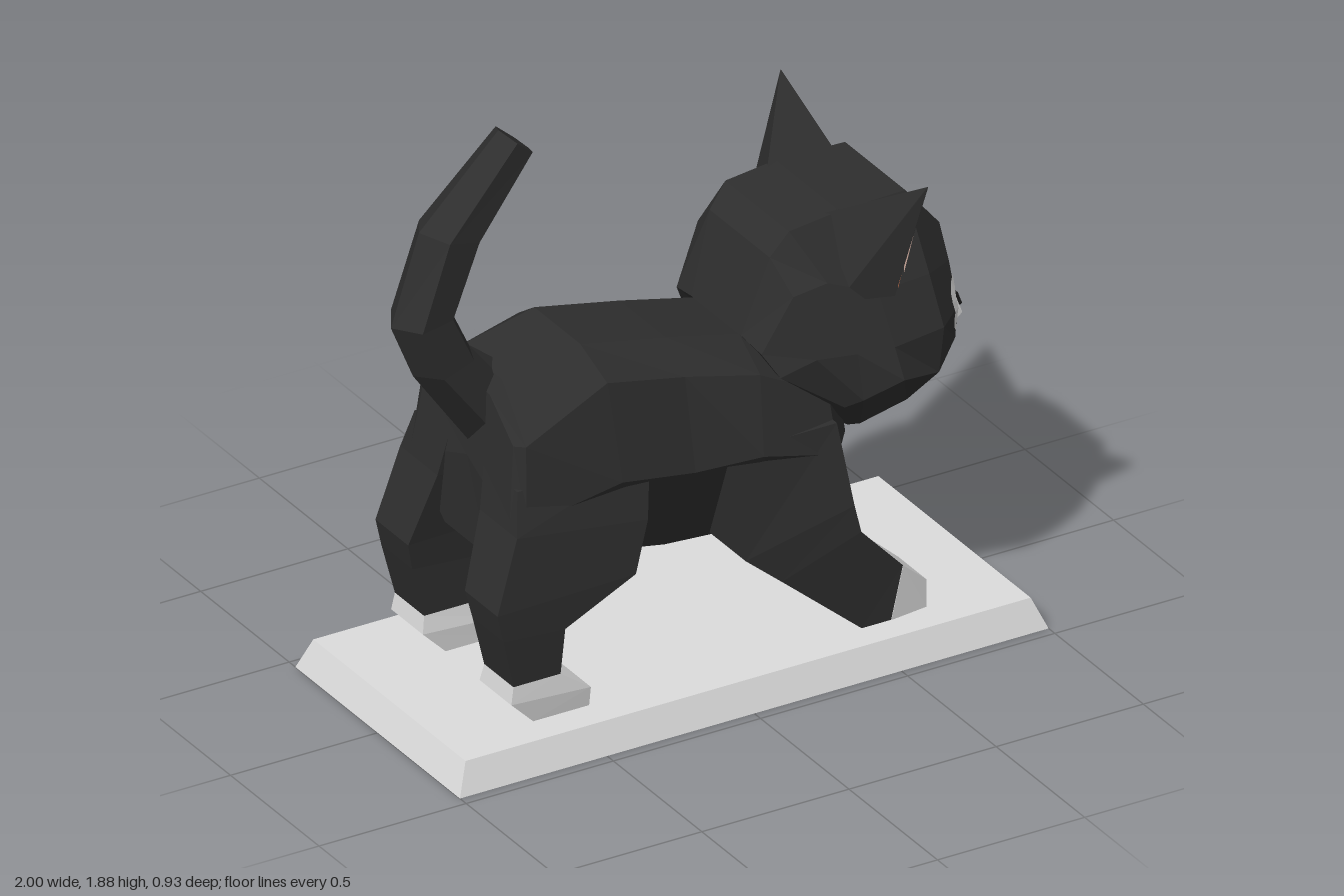
import * as THREE from 'three';

const mat = (name, color, side = THREE.FrontSide) =>
  Object.assign(new THREE.MeshStandardMaterial({ color, side }), { name });

// Faceted geometry from a flat list of triangle corners
function facets(tris) {
  const g = new THREE.BufferGeometry();
  g.setAttribute('position', new THREE.Float32BufferAttribute(tris.flat(), 3));
  g.computeVertexNormals();
  return g;
}

// Skin closed rings of [x, y, z] points; the winding is turned outwards by signed volume
function loft(rings, capStart = true, capEnd = true) {
  const tris = [], n = rings[0].length;
  for (let i = 0; i < rings.length - 1; i++) {
    for (let j = 0; j < n; j++) {
      const a = rings[i][j], b = rings[i][(j + 1) % n];
      const c = rings[i + 1][(j + 1) % n], d = rings[i + 1][j];
      tris.push([a, b, c], [a, c, d]);
    }
  }
  const cap = (ring, flip) => {
    const mid = [0, 1, 2].map(k => ring.reduce((s, p) => s + p[k], 0) / n);
    ring.forEach((p, j) => {
      const q = ring[(j + 1) % n];
      tris.push(flip ? [mid, q, p] : [mid, p, q]);
    });
  };
  if (capStart) cap(rings[0], true);
  if (capEnd) cap(rings[rings.length - 1], false);
  const v = p => new THREE.Vector3(...p);
  const volume = tris.reduce((s, [a, b, c]) => s + v(a).dot(v(b).cross(v(c))), 0);
  if (volume < 0) tris.forEach(t => t.reverse());
  return facets(tris.flat());
}

// Half profile (top to bottom, z > 0) completed by its mirror image
const mirrored = half => [...half, ...half.map(([x, y, z]) => [x, y, -z]).reverse()];

// Four-cornered limb section: back point, front point, inner and outer z
const limb = (list, side) => loft(list.map(([xb, yb, xf, yf, zi, zo]) =>
  [[xb, yb, zi * side], [xf, yf, zi * side], [xf, yf, zo * side], [xb, yb, zo * side]]));

export function createModel() {
  const root = new THREE.Group();
  root.name = 'cat';
  const black = mat('black fur', 0x2e2e2e);
  const white = mat('white fur', 0xdadada);
  const stone = mat('light grey base', 0xdcdcdc, THREE.DoubleSide);
  const orange = mat('ear orange', 0xbd6a48, THREE.DoubleSide);
  const pink = mat('ear pink', 0xc6a497, THREE.DoubleSide);
  const amber = mat('eye amber', 0xa27a1c);
  const brown = mat('eye brown', 0x4a3a17);
  const dark = mat('nose dark', 0x161616, THREE.DoubleSide);
  const add = (name, geometry, material) => {
    const m = new THREE.Mesh(geometry, material);
    m.name = name;
    root.add(m);
    return m;
  };

  // Base: hollow tapered plate, open underneath
  const rect = (x, y, z) => [[-x, y, -z], [x, y, -z], [x, y, z], [-x, y, z]];
  add('base', loft([rect(1, 0, 0.465), rect(0.96, 0.097, 0.43)], false, true), stone);

  // Body from rump to chest
  add('body', loft([
    [[-0.68, 1.08, 0.1], [-0.69, 0.98, 0.25], [-0.72, 0.74, 0.28], [-0.70, 0.56, 0.12]],
    [[-0.65, 1.13, 0.12], [-0.67, 0.99, 0.29], [-0.68, 0.74, 0.31], [-0.60, 0.54, 0.15]],
    [[-0.39, 1.18, 0.13], [-0.37, 1.10, 0.25], [-0.36, 0.80, 0.32], [-0.32, 0.50, 0.18]],
    [[-0.10, 1.12, 0.13], [-0.10, 1.04, 0.24], [-0.10, 0.75, 0.30], [-0.11, 0.44, 0.14]],
    [[0.15, 1.06, 0.13], [0.15, 0.98, 0.25], [0.12, 0.75, 0.32], [0.04, 0.43, 0.14]],
    [[0.36, 1.00, 0.12], [0.38, 0.86, 0.25], [0.38, 0.68, 0.31], [0.30, 0.43, 0.15]],
    [[0.42, 0.95, 0.10], [0.46, 0.80, 0.18], [0.48, 0.67, 0.18], [0.40, 0.50, 0.12]],
  ].map(mirrored)), black);

  // Tail: hexagonal sections between its rear and front edges
  add('tail', loft([
    [-0.68, 0.87, -0.60, 1.13, 0.09], [-0.88, 1.15, -0.69, 1.20, 0.09],
    [-0.955, 1.33, -0.76, 1.35, 0.09], [-0.86, 1.62, -0.67, 1.57, 0.088],
    [-0.59, 1.885, -0.49, 1.80, 0.062],
  ].map(([xa, ya, xb, yb, w]) => [[0, 0], [0.28, 1], [0.85, 0.85], [1, 0], [0.85, -0.85], [0.28, -1]]
    .map(([t, s]) => [xa + (xb - xa) * t, ya + (yb - ya) * t, w * s]))), black);

  // Legs and white paws
  for (const side of [1, -1]) {
    const tag = side > 0 ? 'left' : 'right';
    add(tag + 'HindLeg', limb([
      [-0.70, 0.85, -0.25, 0.85, 0.1, 0.29], [-0.725, 0.72, -0.28, 0.66, 0.12, 0.33],
      [-0.80, 0.49, -0.33, 0.50, 0.16, 0.345], [-0.78, 0.40, -0.57, 0.385, 0.17, 0.345],
      [-0.74, 0.235, -0.58, 0.235, 0.17, 0.335]], side), black);
    add(tag + 'HindPaw', limb([
      [-0.74, 0.235, -0.58, 0.235, 0.17, 0.335], [-0.75, 0.18, -0.48, 0.165, 0.16, 0.34],
      [-0.67, 0.1, -0.48, 0.1, 0.165, 0.33]], side), white);
    add(tag + 'ForeLeg', limb([
      [0.0, 0.78, 0.38, 0.78, 0.1, 0.30], [0.04, 0.44, 0.41, 0.52, 0.10, 0.35],
      [0.16, 0.34, 0.43, 0.43, 0.15, 0.355], [0.44, 0.1, 0.58, 0.27, 0.157, 0.34],
      [0.54, 0.1, 0.58, 0.27, 0.157, 0.34]], side), black);
    add(tag + 'ForePaw', limb([
      [0.54, 0.1, 0.58, 0.27, 0.155, 0.342], [0.67, 0.1, 0.67, 0.19, 0.165, 0.325]], side), white);
  }

  // Head from nape to face
  const head = add('head', loft([
    [[0.15, 1.06, 0.14], [0.16, 1.04, 0.24], [0.20, 0.97, 0.28], [0.385, 0.82, 0.26], [0.42, 0.75, 0.14]],
    [[0.23, 1.31, 0.17], [0.25, 1.22, 0.27], [0.30, 1.02, 0.32], [0.40, 0.83, 0.31], [0.46, 0.70, 0.15]],
    [[0.29, 1.385, 0.18], [0.36, 1.24, 0.28], [0.42, 1.02, 0.35], [0.44, 0.86, 0.35], [0.50, 0.675, 0.16]],
    [[0.46, 1.405, 0.18], [0.52, 1.175, 0.30], [0.535, 1.02, 0.37], [0.55, 0.92, 0.40], [0.53, 0.68, 0.18]],
    [[0.69, 1.405, 0.17], [0.70, 1.18, 0.29], [0.72, 1.02, 0.34], [0.70, 0.88, 0.345], [0.69, 0.715, 0.18]],
    [[0.83, 1.24, 0.13], [0.82, 1.15, 0.20], [0.82, 1.02, 0.25], [0.83, 0.90, 0.22], [0.80, 0.75, 0.12]],
    [[0.855, 1.10, 0.06], [0.86, 1.07, 0.10], [0.865, 1.0, 0.12], [0.865, 0.92, 0.12], [0.82, 0.78, 0.07]],
  ].map(mirrored)), black);

  // Muzzle and nose
  add('muzzle', loft([
    [[0.84, 1.0, 0.08], [0.82, 0.89, 0.16], [0.80, 0.82, 0.13], [0.79, 0.74, 0.05]],
    [[0.885, 0.965, 0.06], [0.875, 0.89, 0.13], [0.86, 0.81, 0.11], [0.835, 0.745, 0.04]],
    [[0.94, 0.92, 0.045], [0.95, 0.875, 0.06], [0.91, 0.83, 0.05], [0.86, 0.765, 0.025]],
  ].map(mirrored)), white);
  add('nose', loft([0.936, 0.944].map(x => mirrored(
    [[x, 0.935, 0.045], [x + 0.006, 0.905, 0.06], [x + 0.012, 0.88, 0.03]]))), dark);

  // Oval patches draped over the face
  const ray = new THREE.Raycaster();
  const patch = (name, z, y, rz, ry, lift, material) => {
    const g = new THREE.RingGeometry(0, 1, 20, 4).toNonIndexed();
    const p = g.attributes.position;
    for (let i = 0; i < p.count; i++) {
      const pz = z - p.getX(i) * rz, py = y + p.getY(i) * ry;
      ray.set(new THREE.Vector3(2, py, pz), new THREE.Vector3(-1, 0, 0));
      const hit = ray.intersectObject(head)[0];
      p.setXYZ(i, (hit ? hit.point.x : 0.8) + lift, py, pz);
    }
    g.computeVertexNormals();
    add(name, g, material);
  };

  for (const side of [1, -1]) {
    const tag = side > 0 ? 'left' : 'right';
    patch(tag + 'EyeMarking', side * 0.19, 1.015, 0.08, 0.1, 0.004, white);
    patch(tag + 'CheekMarking', side * 0.14, 0.905, 0.045, 0.028, 0.004, white);
    patch(tag + 'Iris', side * 0.165, 1.04, 0.074, 0.09, 0.006, amber);
    patch(tag + 'Pupil', side * 0.165, 1.065, 0.058, 0.07, 0.008, brown);
    patch(tag + 'EyeGlint', side * 0.172, 1.105, 0.026, 0.024, 0.0095, white);

    // Ear: pointed wedge with coloured inner faces
    const tip = [0.62, 1.548, 0.415 * side], inner = [0.65, 1.40, 0.18 * side];
    const outer = [0.55, 1.175, 0.345 * side];
    const spread = 0.002;
    add(tag + 'Ear', loft([
      [inner, outer, [0.40, 1.16, 0.27 * side], [0.42, 1.40, 0.16 * side]],
      [[0, spread], [0, -spread], [-spread, -spread], [-spread, spread]]
        .map(([dx, dy]) => [tip[0] + dx, tip[1] + dy, tip[2]]),
    ]), black);
    const inEar = (t, i, o, lift) => [0, 1, 2].map(k =>
      tip[k] * t + inner[k] * i + outer[k] * o + (k === 0 ? lift : 0));
    const a = inEar(0.76, 0.16, 0.08, 0.005);
    add(tag + 'EarLining', facets([a, inEar(0.06, 0.8, 0.14, 0.005), inEar(0.05, 0.02, 0.93, 0.005)]
      [side > 0 ? 'slice' : 'reverse']()), orange);
    const b = inEar(0.76, 0.14, 0.1, 0.009), c = inEar(0.24, 0.68, 0.08, 0.009);
    const d = inEar(0.2, 0.36, 0.44, 0.009), e = inEar(0.2, 0.01, 0.79, 0.009);
    add(tag + 'EarSkin', facets([b, c, d, b, d, e][side > 0 ? 'slice' : 'reverse']()), pink);
  }
  return root;
}
